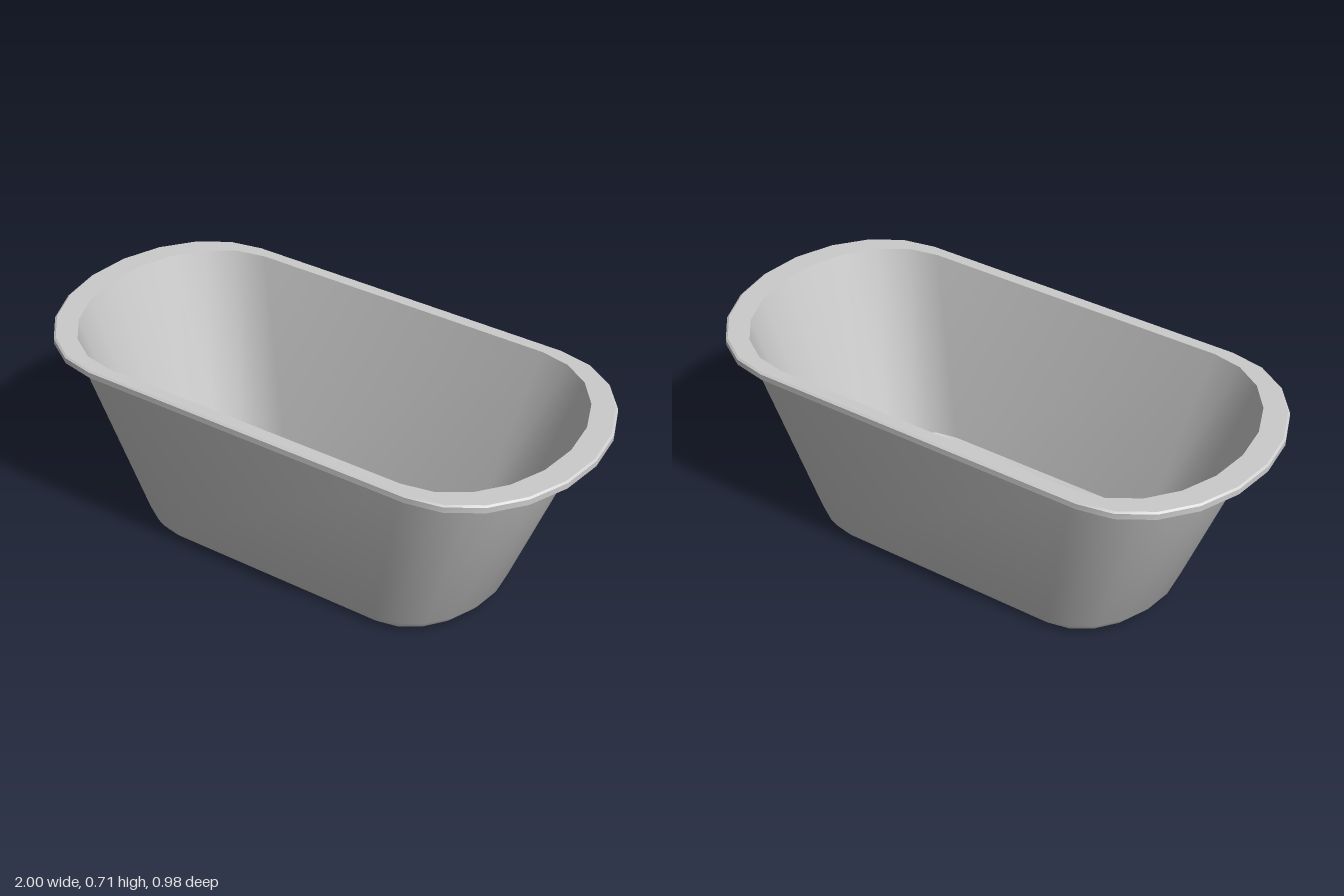
import * as THREE from 'three';
import { toCreasedNormals } from 'three/addons/utils/BufferGeometryUtils.js';

const SEGMENTS = 10; // facets around each rounded end

// Oval outline: two half ellipses joined by straight sides
function oval([y, straight, rx, rz]) {
  const points = [];
  for (const side of [1, -1]) {
    for (let i = 0; i <= SEGMENTS; i++) {
      const a = side * (-Math.PI / 2) + (i / SEGMENTS) * Math.PI * 1;
      const angle = side === 1 ? a : Math.PI / 2 + (i / SEGMENTS) * Math.PI;
      points.push([side * straight + rx * Math.cos(angle), y, rz * Math.sin(angle)]);
    }
  }
  return points;
}

// Skin a list of ovals; rows run so that the surface faces away from the solid
function loft(name, rows, material) {
  const rings = rows.map(oval);
  const positions = [];
  const n = rings[0].length;
  const same = (p, q) => Math.hypot(p[0] - q[0], p[1] - q[1], p[2] - q[2]) < 1e-6;
  const triangle = (p, q, r) => {
    if (!same(p, q) && !same(q, r) && !same(r, p)) positions.push(...p, ...q, ...r);
  };
  for (let i = 0; i < rings.length - 1; i++) {
    for (let j = 0; j < n; j++) {
      const k = (j + 1) % n;
      triangle(rings[i][j], rings[i + 1][j], rings[i][k]);
      triangle(rings[i + 1][j], rings[i + 1][k], rings[i][k]);
    }
  }
  const geometry = new THREE.BufferGeometry();
  geometry.setAttribute('position', new THREE.Float32BufferAttribute(positions, 3));
  const mesh = new THREE.Mesh(toCreasedNormals(geometry, 0.5), material);
  mesh.name = name;
  return mesh;
}

export function createModel() {
  const group = new THREE.Group();
  group.name = 'tub';
  const material = new THREE.MeshStandardMaterial({ color: 0xcccccc });

  // Each row: height, half straight length, end radius along x, half width in z
  const outerWall = [
    [0, 0, 0, 0],
    [0, 0.4, 0.2, 0.3],
    [0.012, 0.41, 0.245, 0.32],
    [0.04, 0.415, 0.265, 0.333],
    [0.69, 0.57, 0.357, 0.452],
  ];
  const rim = [
    [0.685, 0.565, 0.345, 0.442],
    [0.685, 0.61, 0.383, 0.483],
    [0.69, 0.61, 0.39, 0.49],
    [0.71, 0.61, 0.39, 0.49],
    [0.715, 0.61, 0.383, 0.483],
    [0.715, 0.565, 0.345, 0.442],
  ];
  const innerWall = [
    [0.715, 0.565, 0.345, 0.442],
    [0.04, 0.41, 0.26, 0.325],
    [0.022, 0.4, 0.235, 0.3],
    [0.022, 0, 0, 0],
  ];

  group.add(
    loft('outerWall', outerWall, material),
    loft('rim', rim, material),
    loft('innerBasin', innerWall, material),
  );
  return group;
}
